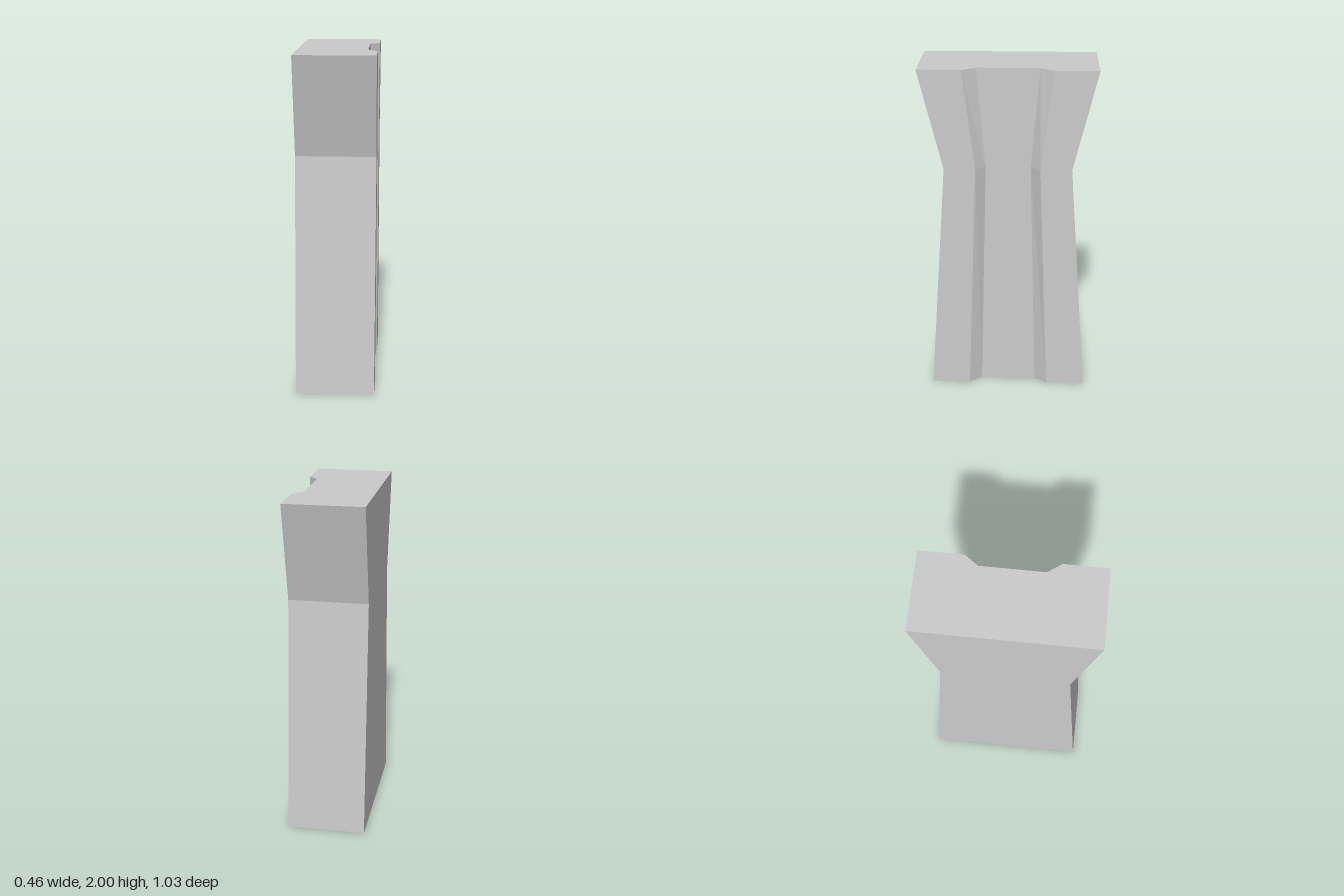
import * as THREE from 'three';

export function createModel() {
  const group = new THREE.Group();

  // Plan of the block for a half-depth of 1, with a bevelled channel on the +x side
  const plan = new THREE.Shape([
    [-0.232, -1], [0.232, -1], [0.232, -0.508], [0.175, -0.354],
    [0.175, 0.354], [0.232, 0.508], [0.232, 1], [-0.232, 1],
  ].map(([x, z]) => new THREE.Vector2(x, z)));
  const geometry = new THREE.ExtrudeGeometry(plan, { depth: 2, steps: 2, bevelEnabled: false });
  geometry.rotateX(-Math.PI / 2);

  // Base, waist and top: height and half-depth
  const levels = [[0, 0.47], [1.415, 0.371], [2, 0.514]];
  const pos = geometry.attributes.position;
  for (let i = 0; i < pos.count; i++) {
    const [y, halfDepth] = levels[Math.round(pos.getY(i))];
    pos.setY(i, y);
    pos.setZ(i, pos.getZ(i) * halfDepth);
  }
  geometry.computeVertexNormals();

  const pillar = new THREE.Mesh(geometry,
    new THREE.MeshStandardMaterial({ color: 0xcccccc, flatShading: true }));
  pillar.name = 'waistedPillar';
  group.add(pillar);
  return group;
}
